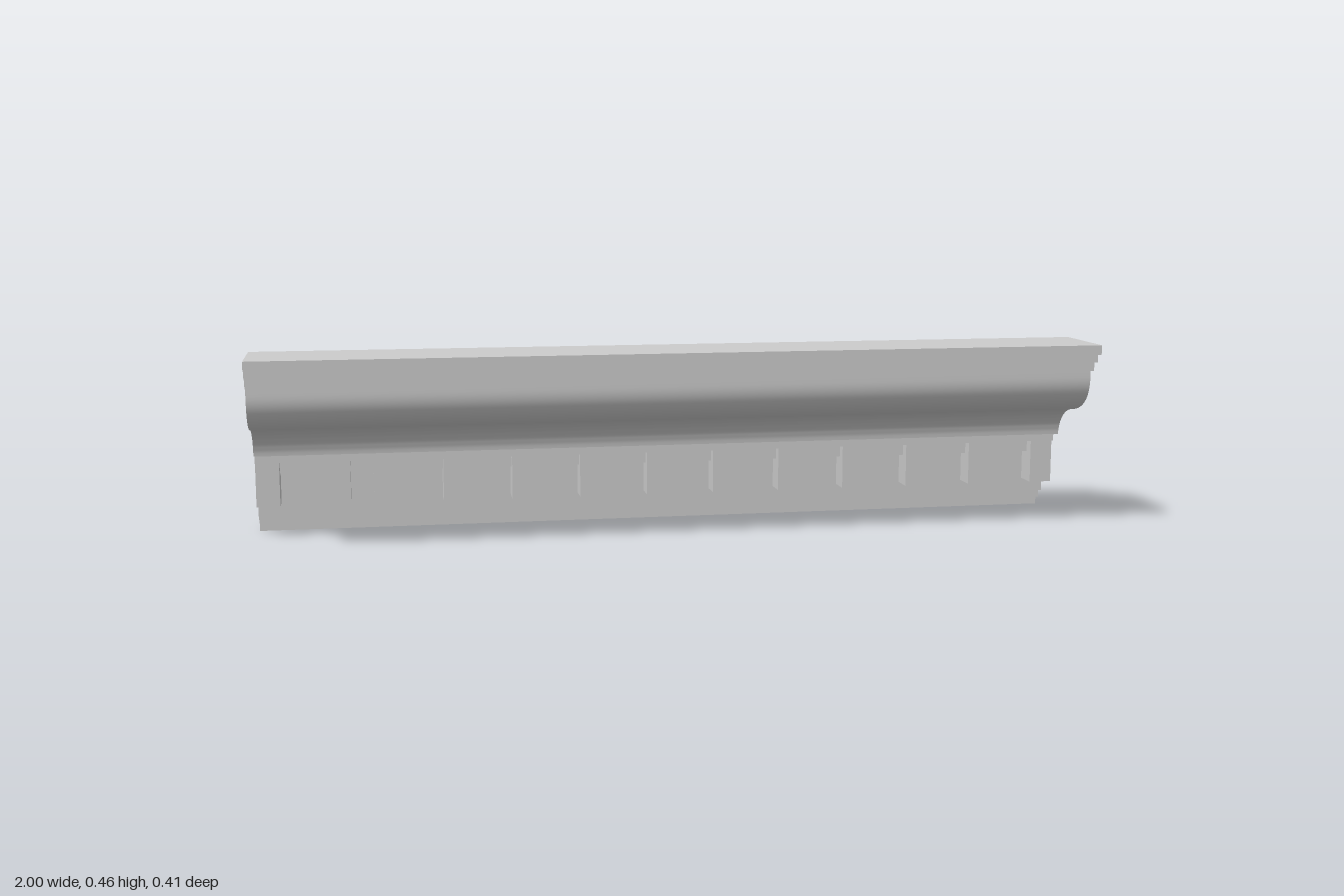
import * as THREE from 'three';
import { toCreasedNormals } from 'three/addons/utils/BufferGeometryUtils.js';

const LENGTH = 2;
const GAPS = 12;
const PITCH = LENGTH / GAPS;
const GAP_WIDTH = 0.055;
const BACK = -0.142; // wall behind the dentils

export function createModel() {
  const group = new THREE.Group();
  group.name = 'dentilCornice';
  const material = new THREE.MeshStandardMaterial({ color: 0xcccccc });

  // Cornice profile, drawn as (z, y)
  const profile = new THREE.Shape();
  const lines = (points) => points.forEach(([z, y]) => profile.lineTo(z, y));
  profile.moveTo(-0.204, 0);
  // stepped foot, dentil wall and fillets
  lines([[-0.178, 0], [-0.178, 0.022], [-0.16, 0.022], [-0.16, 0.043], [BACK, 0.043],
    [BACK, 0.185], [-0.072, 0.185], [-0.072, 0.207], [-0.042, 0.207]]);
  // S-shaped moulding
  profile.bezierCurveTo(-0.038, 0.25, 0, 0.278, 0.045, 0.283);
  profile.bezierCurveTo(0.11, 0.292, 0.145, 0.325, 0.145, 0.375);
  // stepped crown, top and sloped back
  lines([[0.145, 0.393], [0.165, 0.393], [0.165, 0.415], [0.185, 0.415], [0.185, 0.436],
    [0.205, 0.436], [0.205, 0.459], [0, 0.459], [-0.204, 0.287]]);
  profile.closePath();

  const bodyGeometry = new THREE.ExtrudeGeometry(profile, {
    depth: LENGTH, bevelEnabled: false, curveSegments: 16,
  });
  bodyGeometry.rotateY(-Math.PI / 2).translate(LENGTH / 2, 0, 0);
  const body = new THREE.Mesh(toCreasedNormals(bodyGeometry, Math.PI / 6), material);
  body.name = 'corniceBody';
  group.add(body);

  // Block against the dentil wall, given by its x range, y range and front z
  const addBlock = (name, x0, x1, y0, y1, front) => {
    const mesh = new THREE.Mesh(new THREE.BoxGeometry(x1 - x0, y1 - y0, front - BACK), material);
    mesh.position.set((x0 + x1) / 2, (y0 + y1) / 2, (front + BACK) / 2);
    mesh.name = name;
    group.add(mesh);
  };

  // Dentils, with half dentils at both ends
  for (let i = 0; i <= GAPS; i++) {
    const x = -1 + i * PITCH;
    const half = (PITCH - GAP_WIDTH) / 2;
    addBlock('dentil', Math.max(-1, x - half), Math.min(1, x + half), 0.077, 0.185, -0.083);
  }

  // Recessed bridges across the top of the gaps
  for (let i = 0; i < GAPS; i++) {
    const x = -1 + (i + 0.5) * PITCH;
    addBlock('gapBridge', x - GAP_WIDTH / 2, x + GAP_WIDTH / 2, 0.153, 0.185, -0.11);
  }
  return group;
}
